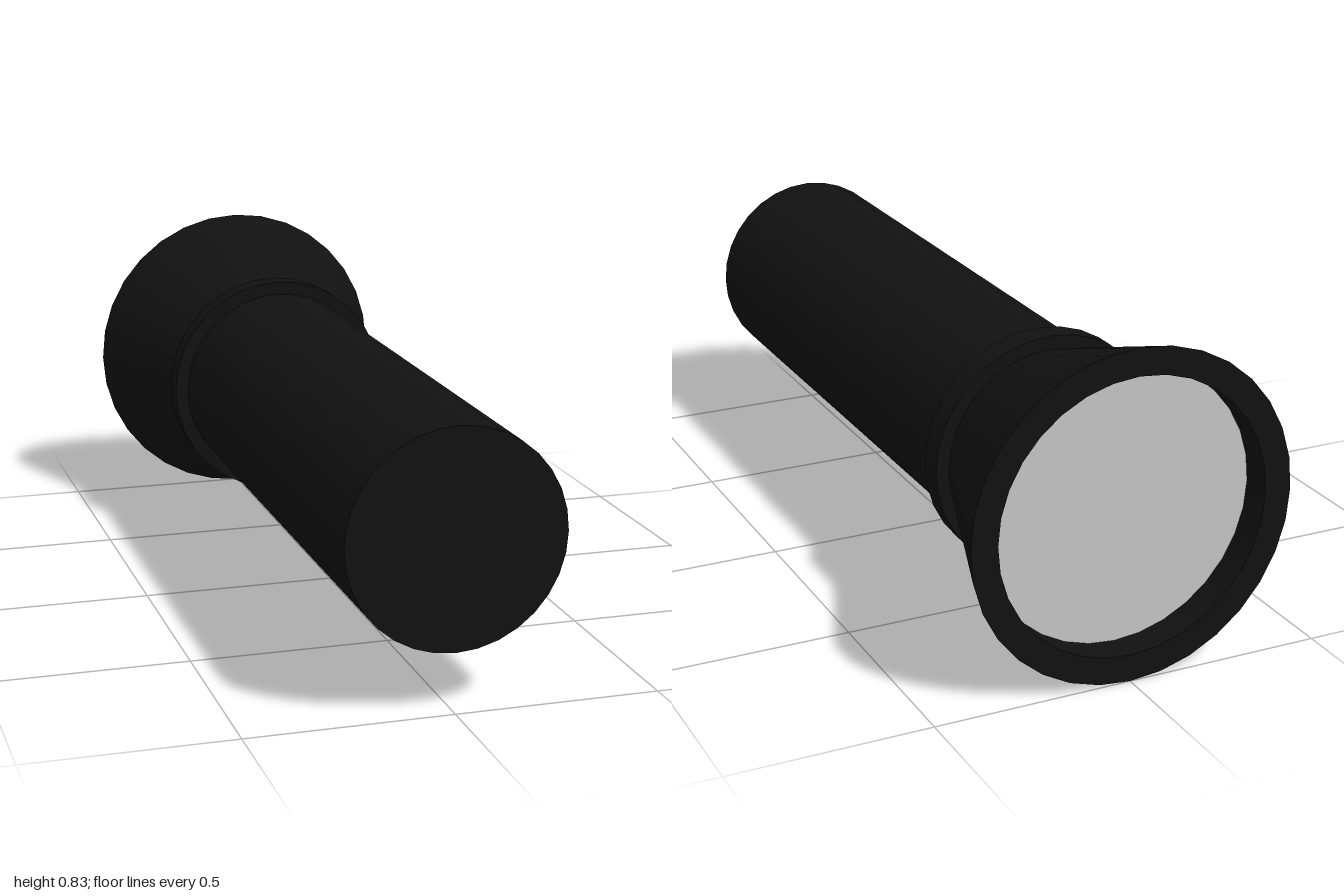
import * as THREE from 'three';
import { toCreasedNormals } from 'three/addons/utils/BufferGeometryUtils.js';

const SEGMENTS = 32;
const AXIS_HEIGHT = 0.413;

// Turn a profile of [radius, distance towards the back] around the z axis
function turned(name, profile, material) {
  const points = profile.map(([r, a]) => new THREE.Vector2(r, a));
  const geometry = new THREE.LatheGeometry(points, SEGMENTS).rotateX(-Math.PI / 2);
  const mesh = new THREE.Mesh(toCreasedNormals(geometry, 0.5), material);
  mesh.name = name;
  mesh.position.y = AXIS_HEIGHT;
  return mesh;
}

export function createModel() {
  const blackPlastic = new THREE.MeshStandardMaterial({ color: 0x111111 });
  blackPlastic.name = 'black plastic';
  const lensGrey = new THREE.MeshStandardMaterial({ color: 0xc4c4c4 });
  lensGrey.name = 'lens grey';

  const group = new THREE.Group();
  group.name = 'flashlight';

  // Long handle, closed at the front end
  group.add(turned('handle', [[0, -1], [0.265, -1], [0.265, 0.57]], blackPlastic));

  // Raised ring between handle and head
  group.add(turned('collar', [[0.26, 0.51], [0.3, 0.51], [0.3, 0.575], [0.26, 0.575]], blackPlastic));

  // Flared head: outer cone, flat rim, then the wall of the recess
  group.add(turned('head', [[0.265, 0.57], [0.413, 1], [0.345, 1], [0.345, 0.915]], blackPlastic));

  // Flat lens at the bottom of the recess
  group.add(turned('lens', [[0.345, 0.92], [0, 0.92]], lensGrey));

  return group;
}
